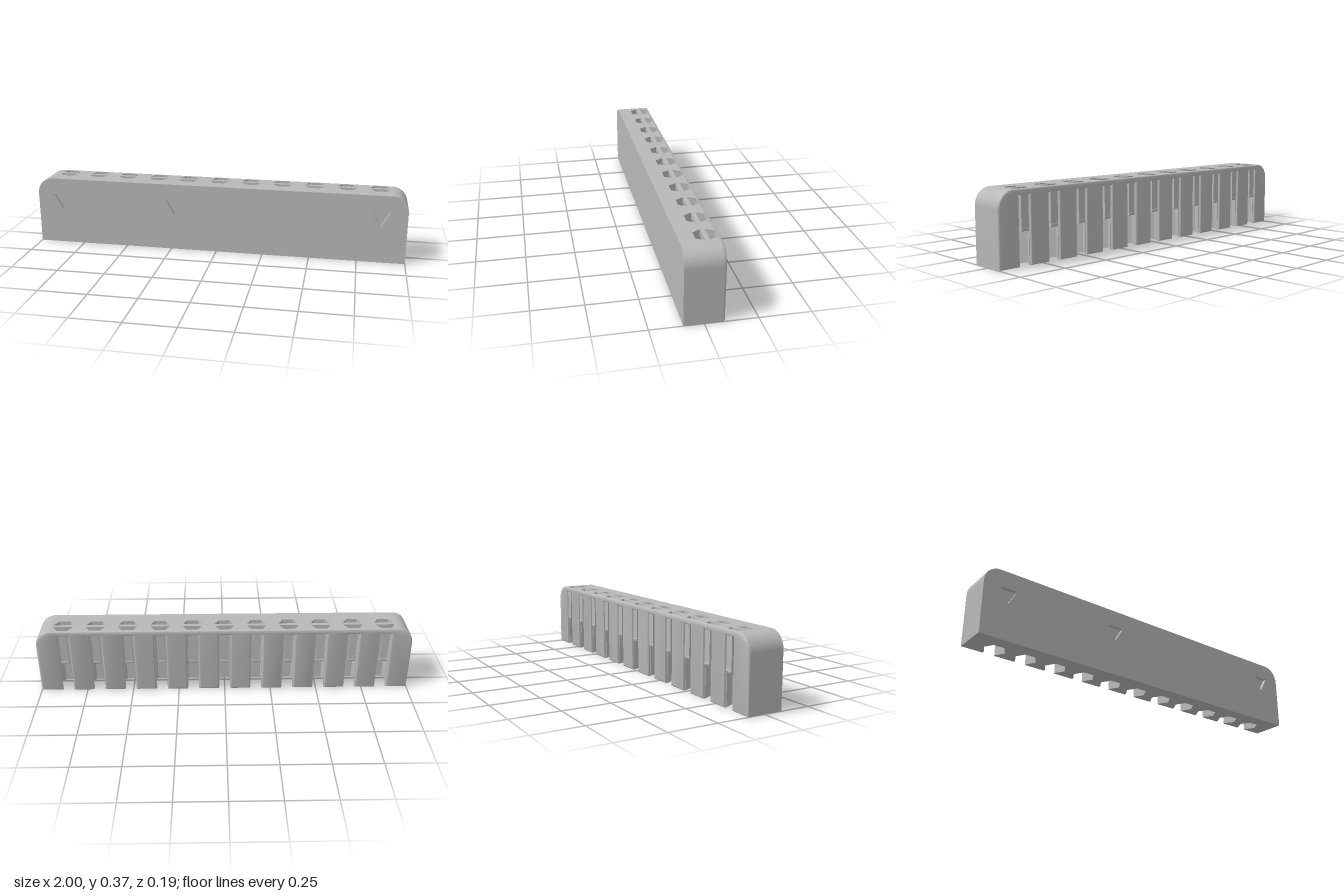
import * as THREE from 'three';
import { toCreasedNormals } from 'three/addons/utils/BufferGeometryUtils.js';

const H = 0.365, R = 0.085, FRONT = 0.095, BACK = -0.095;
const COUNT = 11, PITCH = 0.171;
const HEX_Z = -0.03, HEX_FLAT = 0.05, HEX_SIDE = HEX_FLAT / Math.sqrt(3);
const CORE_BACK = HEX_Z - HEX_FLAT, CORE_FRONT = 0.075;
const SLOT_HALF = 0.031, SLOT_TOP = 0.335;
const centres = Array.from({ length: COUNT }, (_, i) => (i - (COUNT - 1) / 2) * PITCH);

// Front silhouette with round top corners, optionally notched from below by the slots
function silhouette(slotted) {
  const s = new THREE.Shape();
  s.moveTo(-1, 0);
  if (slotted) {
    for (const c of centres) {
      s.lineTo(c - SLOT_HALF, 0);
      s.lineTo(c - SLOT_HALF, SLOT_TOP);
      s.lineTo(c + SLOT_HALF, SLOT_TOP);
      s.lineTo(c + SLOT_HALF, 0);
    }
  }
  s.lineTo(1, 0);
  s.lineTo(1, H - R);
  s.absarc(1 - R, H - R, R, 0, Math.PI / 2, false);
  s.lineTo(-1 + R, H);
  s.absarc(-1 + R, H - R, R, Math.PI / 2, Math.PI, false);
  s.closePath();
  return s;
}

export function createModel() {
  const group = new THREE.Group();
  const grey = new THREE.MeshStandardMaterial({ color: 0xb8b8b8 });
  grey.name = 'grey plastic';

  const add = (name, geometry, x = 0, y = 0, z = 0) => {
    const mesh = new THREE.Mesh(geometry, grey);
    mesh.name = name;
    mesh.position.set(x, y, z);
    group.add(mesh);
    return mesh;
  };
  const extrude = (shape, depth) => toCreasedNormals(
    new THREE.ExtrudeGeometry(shape, { depth, bevelEnabled: false, curveSegments: 16 }), 0.5);

  // Front plate with three triangular recesses
  const front = silhouette(false);
  for (const x of [-0.865, -0.23, 0.862]) {
    const tri = new THREE.Path();
    tri.moveTo(x - 0.046, 0.275);
    tri.lineTo(x + 0.046, 0.275);
    tri.lineTo(x, 0.195);
    tri.closePath();
    front.holes.push(tri);
  }
  add('frontPlate', extrude(front, FRONT - CORE_FRONT), 0, 0, CORE_FRONT);

  // Core: plan outline with hexagonal sockets open to the rear, extruded upward
  const inner = 1 - R;
  const plan = new THREE.Shape();
  plan.moveTo(-inner, -CORE_FRONT);
  plan.lineTo(inner, -CORE_FRONT);
  plan.lineTo(inner, -CORE_BACK);
  for (const c of [...centres].reverse()) {
    plan.lineTo(c + HEX_SIDE, -CORE_BACK);
    plan.lineTo(c + HEX_SIDE * 2, -HEX_Z);
    plan.lineTo(c + HEX_SIDE, -HEX_Z - HEX_FLAT);
    plan.lineTo(c - HEX_SIDE, -HEX_Z - HEX_FLAT);
    plan.lineTo(c - HEX_SIDE * 2, -HEX_Z);
    plan.lineTo(c - HEX_SIDE, -CORE_BACK);
  }
  plan.lineTo(-inner, -CORE_BACK);
  plan.closePath();
  add('socketCore', extrude(plan, H)).rotation.x = -Math.PI / 2;

  // Round-shouldered ends
  for (const side of [-1, 1]) {
    const end = new THREE.Shape();
    end.moveTo(side * inner, 0);
    end.lineTo(side, 0);
    end.lineTo(side, H - R);
    end.absarc(side * inner, H - R, R, side > 0 ? 0 : Math.PI, Math.PI / 2, side < 0);
    end.closePath();
    add(side > 0 ? 'leftEnd' : 'rightEnd', extrude(end, CORE_FRONT - CORE_BACK), 0, 0, CORE_BACK);
  }

  // Slotted back wall: rounded rear edges, inner side flattened against the core
  const bevel = 0.01, depth = CORE_BACK - BACK - bevel;
  const wall = new THREE.ExtrudeGeometry(silhouette(true), {
    depth, bevelThickness: bevel, bevelSize: bevel, bevelOffset: -bevel,
    bevelSegments: 4, curveSegments: 16,
  });
  const p = wall.attributes.position;
  for (let i = 0; i < p.count; i++) p.setZ(i, Math.min(p.getZ(i), depth));
  add('backWall', toCreasedNormals(wall, 0.6), 0, 0, BACK + bevel);

  // Each socket: stop bar at the top, spring tongue in the slot, retaining bump
  const barGeo = new THREE.BoxGeometry(HEX_SIDE * 4, 0.03, 0.021);
  const tongueBottom = 0.168, tongueH = SLOT_TOP + 0.01 - tongueBottom;
  const tongueGeo = new THREE.BoxGeometry(0.04, tongueH, 0.012);
  const bumpGeo = new THREE.CylinderGeometry(0.012, 0.012, 0.04, 16).rotateZ(Math.PI / 2);
  for (const c of centres) {
    add('stopBar', barGeo, c, H - 0.015, HEX_Z);
    add('springTongue', tongueGeo, c, tongueBottom + tongueH / 2, -0.086);
    add('retainingBump', bumpGeo, c, tongueBottom + 0.008, -0.082);
  }
  return group;
}
